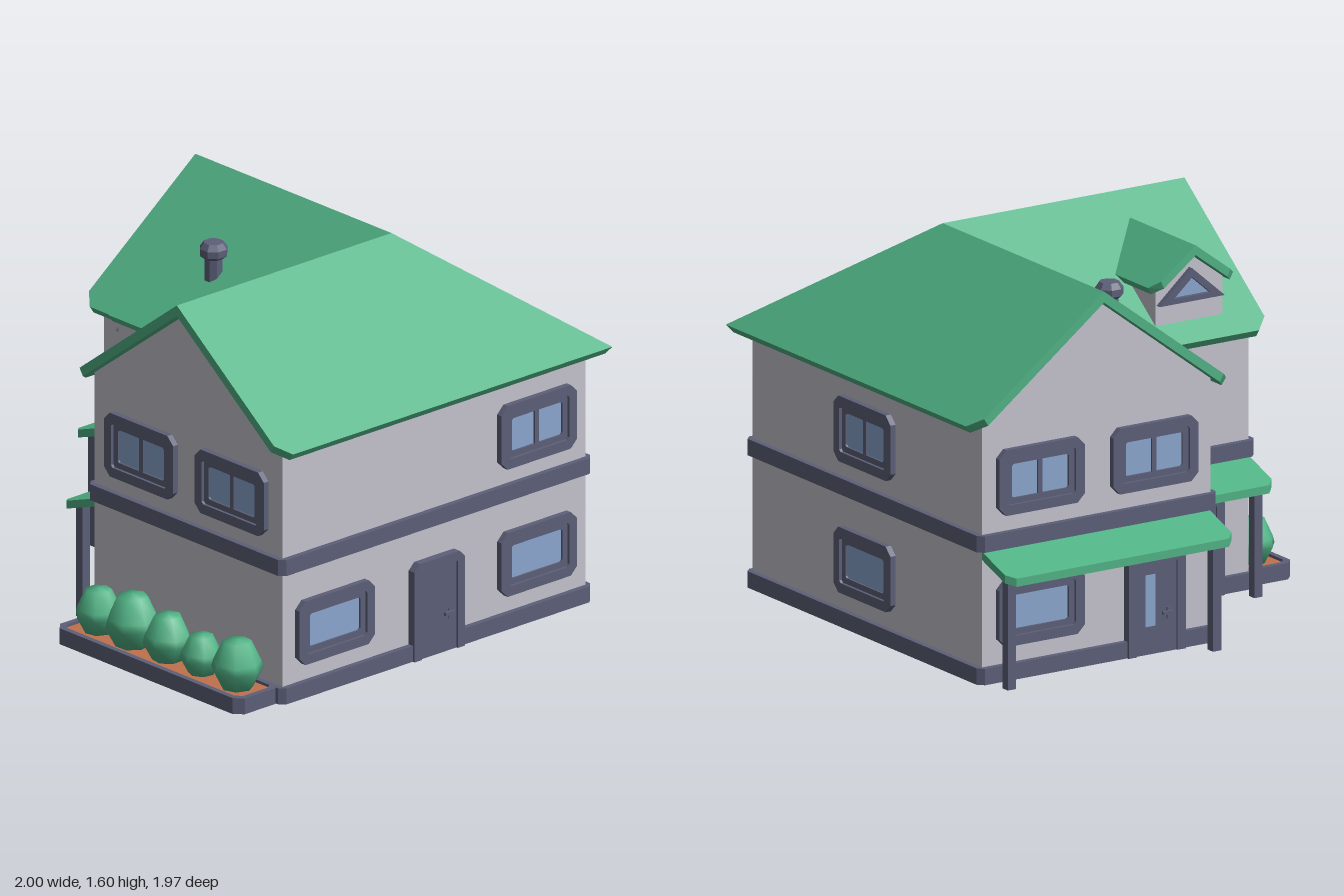
import * as THREE from 'three';

const mat = (name, color) => {
  const m = new THREE.MeshStandardMaterial({ color });
  m.name = name;
  return m;
};

export function createModel() {
  const model = new THREE.Group();
  model.name = 'house';
  const wall = mat('wall grey', 0xc4c3cd), trim = mat('slate trim', 0x5c5f78);
  const green = mat('green', 0x50b285), glass = mat('window blue', 0x8aa6ce), soil = mat('soil brown', 0xc0714c);

  const add = (parent, name, geometry, material, x = 0, y = 0, z = 0) => {
    const mesh = new THREE.Mesh(geometry, material);
    mesh.name = name;
    mesh.position.set(x, y, z);
    parent.add(mesh);
    return mesh;
  };
  const box = (parent, name, w, h, d, material, x, y, z) =>
    add(parent, name, new THREE.BoxGeometry(w, h, d), material, x, y, z);

  // Rectangle outline with cut corners
  const cutRect = (w, h, c, x = 0, y = 0) => {
    const a = w / 2, b = h / 2;
    return [[-a + c, -b], [a - c, -b], [a, -b + c], [a, b - c], [a - c, b], [-a + c, b], [-a, b - c], [-a, -b + c]]
      .map(p => new THREE.Vector2(p[0] + x, p[1] + y));
  };
  const extrude = (points, depth, hole) => {
    const shape = new THREE.Shape(points);
    if (hole) shape.holes.push(new THREE.Path(hole));
    return new THREE.ExtrudeGeometry(shape, { depth, bevelEnabled: false });
  };
  // Plan outlines are given as x and -z, then raised along y
  const raise = (points, height, hole) => extrude(points, height, hole).rotateX(-Math.PI / 2);

  // L-shaped plan grown by o, with outer corners cut by c
  const plan = (o, c) => [
    [-0.765 - o + c, 0.91 + o], [0.915 + o - c, 0.91 + o], [0.915 + o, 0.91 + o - c],
    [0.915 + o, -0.78 - o + c], [0.915 + o - c, -0.78 - o], [-0.21 - o + c, -0.78 - o],
    [-0.21 - o, -0.78 - o + c], [-0.21 - o, -0.23 - o], [-0.765 - o + c, -0.23 - o],
    [-0.765 - o, -0.23 - o + c], [-0.765 - o, 0.91 + o - c],
  ].map(p => new THREE.Vector2(p[0], -p[1]));

  const sharp = [[-0.765, 0.91], [0.915, 0.91], [0.915, -0.78], [-0.21, -0.78], [-0.21, -0.23], [-0.765, -0.23]]
    .map(p => new THREE.Vector2(p[0], -p[1]));
  add(model, 'walls', raise(sharp, 1.065), wall, 0, 0.06, 0);
  add(model, 'baseBand', raise(plan(0.025, 0.025), 0.07), trim);
  add(model, 'floorBand', raise(plan(0.025, 0.025), 0.07), trim, 0, 0.565, 0);

  // Gable ends
  const gable = () => extrude([[-0.565, 1.125], [0.565, 1.125], [0, 1.55]].map(p => new THREE.Vector2(...p)), 0.08);
  add(model, 'leftGable', gable(), wall, -0.765, 0, 0.34).rotation.y = -Math.PI / 2;
  model.children.at(-1).position.x += 0.08;
  add(model, 'backGable', gable(), wall, 0.355, 0, -0.78);

  // Closed roof shell from top and underside points; the outline runs through the first n points
  const roofShell = (top, under, faces, n) => {
    const pos = [];
    const fan = pts => {
      for (let i = 1; i < pts.length - 1; i++) pos.push(...pts[0], ...pts[i], ...pts[i + 1]);
    };
    for (const f of faces) {
      fan(f.map(i => top[i]));
      fan(f.map(i => under[i]).reverse());
    }
    for (let i = 0; i < n; i++) {
      const j = (i + 1) % n;
      fan([top[i], under[i], under[j], top[j]]);
    }
    const g = new THREE.BufferGeometry();
    g.setAttribute('position', new THREE.Float32BufferAttribute(pos, 3));
    g.computeVertexNormals();
    return g;
  };

  // Main roof: two ridges meeting in a hip and a valley
  const CX = 0.36, CZ = 0.34, SLOPE = 0.758;
  const outline = [[-0.83, CZ], [-0.83, 0.93], [-0.77, 0.98], [1, 0.98], [1, -0.79], [0.95, -0.85], [CX, -0.85],
    [-0.23, -0.85], [-0.28, -0.79], [-0.28, -0.3], [-0.77, -0.3], [-0.83, -0.25], [CX, CZ]];
  const tuck = (v, c) => Math.abs(v - c) <= 0.641 ? c + (v - c) * 0.966 : v;
  const roofPoint = (x, z, ridge) => [x, ridge - SLOPE * (x < -0.5 ? Math.abs(z - CZ) : Math.abs(x - CX)), z];
  add(model, 'roof', roofShell(
    outline.map(([x, z]) => roofPoint(x, z, 1.6)),
    outline.map(([x, z]) => roofPoint(tuck(x, CX), tuck(z, CZ), 1.553)),
    [[0, 1, 2, 3, 12], [12, 3, 4, 5, 6], [12, 6, 7, 8, 9], [12, 9, 10, 11, 0]], 12), green);

  // Dormer
  const dormer = new THREE.Group();
  dormer.name = 'dormer';
  dormer.position.x = -0.485;
  model.add(dormer);
  const cap = [[0, -0.26], [-0.17, -0.26], [-0.21, -0.22], [-0.21, 0.02], [0, 0.225], [0.21, 0.02], [0.21, -0.22], [0.17, -0.26]];
  add(dormer, 'dormerRoof', roofShell(
    cap.map(([x, z]) => [x, 1.514 - 0.75 * Math.abs(x), z]),
    cap.map(([x, z]) => [x * 0.92, 1.472 - 0.69 * Math.abs(x), z]),
    [[0, 1, 2, 3, 4], [0, 4, 5, 6, 7]], 8), green);
  const v2 = list => list.map(p => new THREE.Vector2(...p));
  add(dormer, 'dormerWall', extrude(v2([[-0.165, 1.1], [0.165, 1.1], [0.165, 1.345], [0, 1.468], [-0.165, 1.345]]), 0.25), wall, 0, 0, -0.21);
  add(dormer, 'dormerFrame', extrude(v2([[-0.16, 1.27], [0.16, 1.27], [0, 1.41]]), 0.03,
    v2([[-0.09, 1.293], [0.09, 1.293], [0, 1.372]])), trim, 0, 0, -0.235);
  add(dormer, 'dormerGlass', extrude(v2([[-0.1, 1.285], [0.1, 1.285], [0, 1.38]]), 0.008), glass, 0, 0, -0.217);

  // Chimney pot
  const pot = new THREE.LatheGeometry(v2([[0.04, 1.2], [0.04, 1.39], [0.06, 1.405], [0.06, 1.435], [0.042, 1.46], [0, 1.46]]), 8)
    .rotateY(Math.PI / 8).toNonIndexed();
  pot.computeVertexNormals();
  add(model, 'chimney', pot, trim, -0.005, 0, -0.34);

  // Places a group flat on a wall, facing outward
  const onWall = (name, side, along, y, depth) => {
    const g = new THREE.Group();
    g.name = name;
    if (side === 'front') g.position.set(along, y, 0.91);
    if (side === 'back') g.position.set(along, y, depth);
    if (side === 'right') g.position.set(0.915, y, along);
    if (side === 'left') g.position.set(-0.765, y, along);
    g.rotation.y = { front: 0, back: Math.PI, right: Math.PI / 2, left: -Math.PI / 2 }[side];
    model.add(g);
    return g;
  };

  // Windows: outer frame, stepped inner frame, glass and optional mullion
  const addWindow = (side, along, y, split, depth = -0.78) => {
    const g = onWall('window', side, along, y, depth);
    add(g, 'outerFrame', extrude(cutRect(0.42, 0.28, 0.035), 0.026, cutRect(0.335, 0.195, 0.01)), trim);
    add(g, 'innerFrame', extrude(cutRect(0.34, 0.2, 0.01), 0.013, cutRect(0.28, 0.145, 0.008)), trim);
    add(g, 'glass', extrude(cutRect(0.29, 0.155, 0.01), 0.004), glass);
    if (split) box(g, 'mullion', 0.022, 0.15, 0.012, trim, 0, 0, 0.006);
  };
  const LOW = 0.285, HIGH = 0.845;
  addWindow('front', -0.485, LOW, false);
  addWindow('front', 0.635, LOW, false);
  addWindow('front', 0.635, HIGH, true);
  addWindow('right', 0.065, LOW, false);
  addWindow('right', 0.065, HIGH, true);
  addWindow('left', 0.065, HIGH, true);
  addWindow('left', 0.615, HIGH, true);
  addWindow('back', 0.635, LOW, false);
  addWindow('back', 0.635, HIGH, true);
  addWindow('back', 0.075, HIGH, true);

  // Doors: surround, leaf and handle
  const addDoor = (side, along, depth) => {
    const g = onWall('door', side, along, 0, depth);
    const surround = v2([[-0.14, 0], [-0.1, 0], [-0.1, 0.385], [0.1, 0.385], [0.1, 0], [0.14, 0],
      [0.14, 0.395], [0.11, 0.425], [-0.11, 0.425], [-0.14, 0.395]]);
    add(g, 'doorFrame', extrude(surround, 0.036), trim);
    box(g, 'doorLeaf', 0.2, 0.385, 0.028, trim, 0, 0.1925, 0.014);
    box(g, 'handlePlate', 0.022, 0.05, 0.006, trim, 0.062, 0.165, 0.03);
    box(g, 'handleLever', 0.05, 0.014, 0.012, trim, 0.048, 0.17, 0.042);
    return g;
  };
  addDoor('front', 0.075);
  const sideDoor = addDoor('back', 0.075, -0.78);
  box(sideDoor, 'doorGlass', 0.05, 0.22, 0.006, glass, -0.03, 0.23, 0.028);
  const porchDoor = addDoor('back', -0.485, -0.23);
  box(porchDoor, 'doorGlass', 0.15, 0.08, 0.006, glass, 0, 0.315, 0.028);

  // Sloping porch canopies on posts
  const addCanopy = (x0, x1, wallZ, posts) => {
    const g = new THREE.Group();
    g.name = 'canopy';
    g.position.z = wallZ;
    const outer = 0.205, c = 0.035;
    const slab = raise(v2([[x0, 0], [x1, 0], [x1, outer - c], [x1 - c, outer], [x0 + c, outer], [x0, outer - c]]), 0.035);
    const p = slab.attributes.position;
    for (let i = 0; i < p.count; i++) p.setY(i, p.getY(i) + 0.53 + 0.35 * p.getZ(i));
    slab.computeVertexNormals();
    add(g, 'canopyRoof', slab, green);
    for (const x of posts) box(g, 'post', 0.04, 0.495, 0.04, trim, x, 0.2475, -0.12);
    model.add(g);
  };
  addCanopy(-0.2, 0.915, -0.78, [-0.15, 0.86]);
  addCanopy(-0.765, -0.21, -0.23, [-0.72, -0.28]);

  // Planter with soil and bushes along the left wall
  add(model, 'planterRim', raise(cutRect(0.24, 1.12, 0.035, -0.88, -0.34), 0.07, cutRect(0.19, 1.07, 0.025, -0.88, -0.34)), trim);
  add(model, 'planterBase', raise(cutRect(0.22, 1.1, 0.035, -0.88, -0.34), 0.05), trim);
  add(model, 'soil', raise(cutRect(0.2, 1.08, 0.03, -0.88, -0.34), 0.008), soil, 0, 0.05, 0);
  const bushes = [[-0.08, 0.1], [0.125, 0.118], [0.34, 0.105], [0.545, 0.09], [0.76, 0.11]];
  bushes.forEach(([z, r], i) => {
    const profile = v2([[0, 0], [0.6, 0], [1, 0.75], [0.92, 1.05], [0.55, 1.85], [0, 1.92]]).map(p => p.multiplyScalar(r));
    add(model, 'bush', new THREE.LatheGeometry(profile, 7), green, -0.88, 0.055, z).rotation.y = i * 0.7;
  });

  return model;
}
